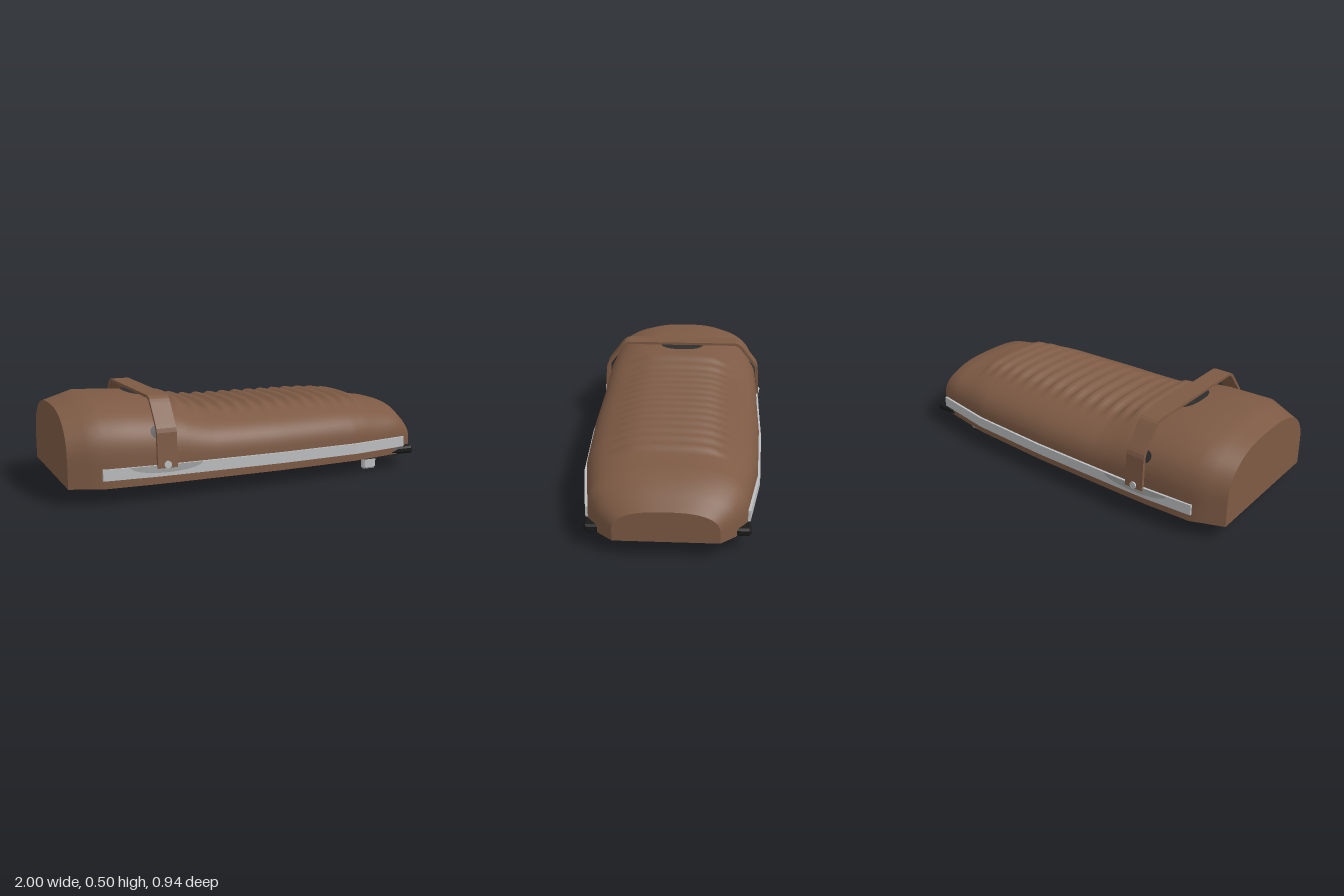
import * as THREE from 'three';

const mat = (name, color, double) => {
  const m = new THREE.MeshStandardMaterial({ color });
  m.name = name;
  if (double) m.side = THREE.DoubleSide;
  return m;
};

// Piecewise linear lookup in [[x, value], ...]
const lerpTable = (table, x) => {
  for (let i = 1; i < table.length; i++) {
    const [x0, v0] = table[i - 1], [x1, v1] = table[i];
    if (x <= x1) return v0 + (v1 - v0) * (x - x0) / (x1 - x0);
  }
  return table[table.length - 1][1];
};

const FLOOR = 0.085;
const WIDTH = [[-1, 0.365], [-0.84, 0.43], [-0.6, 0.443], [-0.45, 0.445], [0.08, 0.445], [0.53, 0.425], [0.87, 0.37], [0.94, 0.315], [1, 0.245]];
const TOP = [[-1, 0.44], [-0.84, 0.485], [-0.55, 0.47], [-0.43, 0.443], [-0.35, 0.42], [-0.27, 0.402], [-0.1, 0.397], [0.45, 0.395], [0.61, 0.387], [0.69, 0.373], [0.87, 0.35], [1, 0.24]];
const halfWidth = x => lerpTable(WIDTH, x);

// Point on the cushion: angle 0 is the +z side, PI the -z side
function cushionPoint(x, angle, lift = 0) {
  const w = halfWidth(x) + lift, top = lerpTable(TOP, x) + lift;
  const base = FLOOR + (top - FLOOR) * 0.3, c = Math.cos(angle);
  const z = w * Math.sign(c) * Math.pow(Math.abs(c), 2 / 2.6);
  let y = base + (top - base) * Math.pow(Math.max(0, Math.sin(angle)), 2 / 2.6);
  // Pleats: a triangle wave that fades out towards the sides
  if (x > -0.43 && x < 0.69) {
    const phase = Math.abs((((x + 0.43) / 0.08) % 1) - 0.5) * 2;
    y += 0.027 * (1 - phase) * (1 - THREE.MathUtils.smoothstep(Math.abs(z), 0.17, 0.31));
  }
  return [x, y, z];
}

// Smooth upper shell plus flat ends and underside
function buildCushion(material) {
  const xs = [-1, -0.92, -0.84, -0.7, -0.6, -0.5];
  for (let i = 0; i <= 56; i++) xs.push(-0.43 + i * 0.02);
  xs.push(0.78, 0.87, 0.94, 1);
  const N = 40, rings = xs.map(x => {
    const w = halfWidth(x), ring = [[x, FLOOR, w]];
    for (let j = 0; j <= N; j++) ring.push(cushionPoint(x, Math.PI * j / N));
    ring.push([x, FLOOR, -w]);
    return ring;
  });
  const M = N + 3, idx = [], flat = [];
  for (let i = 0; i < rings.length - 1; i++) {
    for (let j = 0; j < M - 1; j++) {
      const a = i * M + j, b = a + M;
      idx.push(a, b, b + 1, a, b + 1, a + 1);
    }
    const a = rings[i], b = rings[i + 1];
    flat.push(a[M - 1], b[M - 1], b[0], a[M - 1], b[0], a[0]);
  }
  const back = rings[0], front = rings[rings.length - 1];
  for (let j = 0; j < M - 1; j++) {
    flat.push([-1, FLOOR, 0], back[j], back[j + 1], [1, FLOOR, 0], front[j + 1], front[j]);
  }
  const shell = new THREE.BufferGeometry();
  shell.setAttribute('position', new THREE.Float32BufferAttribute(rings.flat(2), 3));
  shell.setIndex(idx);
  const ends = new THREE.BufferGeometry();
  ends.setAttribute('position', new THREE.Float32BufferAttribute(flat.flat(), 3));
  const group = new THREE.Group();
  group.name = 'cushion';
  for (const [name, g] of [['cushionShell', shell], ['cushionEnds', ends]]) {
    g.computeVertexNormals();
    const m = new THREE.Mesh(g, material);
    m.name = name;
    group.add(m);
  }
  return group;
}

// Oval patch lying on the cushion surface
function cushionPatch(cx, rx, angle, ra) {
  const g = new THREE.CircleGeometry(1, 32), p = g.attributes.position;
  for (let i = 0; i < p.count; i++) {
    p.setXYZ(i, ...cushionPoint(cx + p.getX(i) * rx, angle + p.getY(i) * ra, 0.006));
  }
  g.computeVertexNormals();
  return g;
}

const extrude = (shape, depth, bevel = 0) => new THREE.ExtrudeGeometry(shape, {
  depth, bevelEnabled: bevel > 0, bevelSize: bevel, bevelThickness: bevel, bevelOffset: -bevel, bevelSegments: 1, curveSegments: 8
});
const polygon = pts => new THREE.Shape(pts.map(p => new THREE.Vector2(...p)));

// Grab strap outline in the z-y plane, rounded at the corners
function strapGeometry() {
  const half = [[0.463, 0.165], [0.453, 0.335], [0.447, 0.355], [0.436, 0.372], [0.362, 0.468], [0.349, 0.482], [0.334, 0.492], [0.315, 0.497]];
  const inner = [[0.447, 0.165], [0.437, 0.33], [0.432, 0.35], [0.423, 0.364], [0.35, 0.458], [0.338, 0.471], [0.326, 0.479], [0.31, 0.483]];
  const mirror = pts => pts.map(([z, y]) => [-z, y]).reverse();
  const g = extrude(polygon([...half, ...mirror(half), ...[...inner, ...mirror(inner)].reverse()]), 0.1);
  g.rotateY(Math.PI / 2);
  g.translate(-0.59, 0, 0);
  return g;
}

// Trim strip following the side of the cushion, as a closed plan outline
function trimGeometry(side) {
  const xs = [-0.85, -0.6, -0.45, 0.08, 0.53, 0.87];
  const outer = xs.map(x => [x, -side * (halfWidth(x) + 0.012)]);
  const inner = xs.map(x => [x, -side * (halfWidth(x) - 0.01)]).reverse();
  const g = extrude(polygon([...outer, ...inner]), 0.055);
  g.rotateX(-Math.PI / 2);
  g.translate(0, 0.125, 0);
  return g;
}

// Half-oval shade plate on the trim, under the strap end
function trimPlate(side) {
  const g = new THREE.CircleGeometry(1, 24, Math.PI, Math.PI), p = g.attributes.position;
  for (let i = 0; i < p.count; i++) {
    const x = -0.54 + p.getX(i) * 0.18;
    p.setXYZ(i, x, 0.18 + p.getY(i) * 0.037, side * (halfWidth(x) + 0.0145));
  }
  g.computeVertexNormals();
  return g;
}

export function createModel() {
  const root = new THREE.Group();
  root.name = 'seat';
  const leather = mat('brown leather', 0x7d5a44);
  const metal = mat('light metal', 0xbcbec0);
  const dullMetal = mat('dull metal', 0x9fa1a1, true);
  const black = mat('black plastic', 0x1a1a1a);
  const dark = mat('dark rubber', 0x2c2c2c, true);
  const add = (name, geometry, material, x = 0, y = 0, z = 0) => {
    const m = new THREE.Mesh(geometry, material);
    m.name = name;
    m.position.set(x, y, z);
    root.add(m);
    return m;
  };

  root.add(buildCushion(leather));
  add('grabStrap', strapGeometry(), leather);
  add('topPad', cushionPatch(-0.55, 0.07, Math.PI / 2, 0.2), dark);

  // Base plate
  add('basePlate', new THREE.BoxGeometry(1.86, 0.012, 0.73), black, -0.03, 0.083, 0);

  // Paired fittings
  const hook = polygon([[0.79, 0.088], [0.925, 0.08], [0.935, 0.09], [0.935, 0.112], [0.925, 0.121], [0.83, 0.121], [0.79, 0.104]]);
  const peg = polygon([[0.65, 0.08], [0.65, 0.012], [0.66, 0.002], [0.722, 0.002], [0.732, 0.012], [0.732, 0.08]]);
  for (const side of [1, -1]) {
    const tag = side > 0 ? 'Front' : 'Rear';
    add('trim' + tag, trimGeometry(side), metal);
    add('trimPlate' + tag, trimPlate(side), dullMetal);
    add('sidePad' + tag, cushionPatch(-0.575, 0.035, side > 0 ? 0.4 : Math.PI - 0.4, 0.12), dark);
    add('strapBolt' + tag, new THREE.CylinderGeometry(0.018, 0.018, 0.024, 16), metal, -0.54, 0.182, side * 0.457).rotation.x = Math.PI / 2;
    add('hook' + tag, extrude(hook, 0.055, 0.01), black, 0, 0, side * 0.3475 - 0.0275);
    add('peg' + tag, extrude(peg, 0.018, 0.009), metal, 0, 0, side * 0.308 - 0.009);
    add('pegCollar' + tag, new THREE.BoxGeometry(0.08, 0.022, 0.037), dark, 0.695, 0.068, side * 0.308);
  }
  return root;
}
